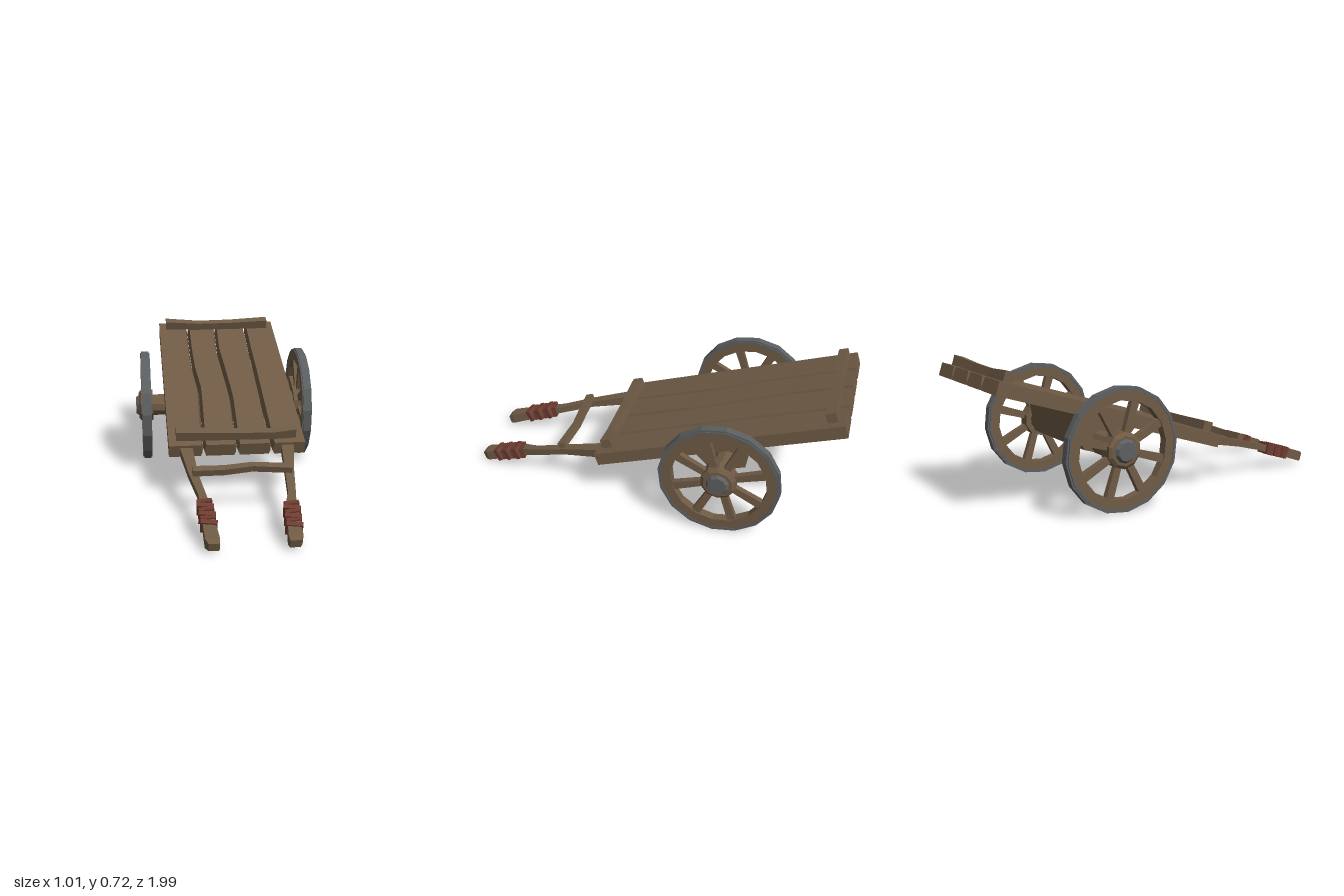
import * as THREE from 'three';

const wood = new THREE.MeshStandardMaterial({ color: 0x6f5b45 });
wood.name = 'brown wood';
const iron = new THREE.MeshStandardMaterial({ color: 0x5c5f61 });
iron.name = 'grey iron';
const cord = new THREE.MeshStandardMaterial({ color: 0x6e3b30 });
cord.name = 'red cord';

// Faceted mesh with hard edges
function add(parent, name, geometry, material) {
  const g = geometry.index ? geometry.toNonIndexed() : geometry;
  g.computeVertexNormals();
  const mesh = new THREE.Mesh(g, material);
  mesh.name = name;
  parent.add(mesh);
  return mesh;
}

// Solid through rings of [x, y] points (counter-clockwise) placed at rising z
function loft(rings) {
  const n = rings[0].points.length, pos = [], idx = [];
  rings.forEach(r => r.points.forEach(p => pos.push(p[0], p[1], r.z)));
  for (let i = 0; i < rings.length - 1; i++) {
    for (let j = 0; j < n; j++) {
      const a = i * n + j, b = i * n + (j + 1) % n;
      idx.push(a, b, b + n, a, b + n, a + n);
    }
  }
  const last = (rings.length - 1) * n;
  for (let j = 1; j < n - 1; j++) idx.push(0, j + 1, j, last, last + j, last + j + 1);
  const g = new THREE.BufferGeometry();
  g.setAttribute('position', new THREE.Float32BufferAttribute(pos, 3));
  g.setIndex(idx);
  return g;
}

// Rectangular beam along z; each station is [z, x, y, width, height]
function beam(stations) {
  return loft(stations.map(([z, x, y, w, h]) => ({
    z,
    points: [[x - w / 2, y - h / 2], [x + w / 2, y - h / 2], [x + w / 2, y + h / 2], [x - w / 2, y + h / 2]],
  })));
}

// Beam along x; each station is [x, z, y, depth, height]
const crossBeam = stations =>
  beam(stations.map(([x, z, y, d, h]) => [x, -z, y, d, h])).rotateY(Math.PI / 2);

// Four planks with worn, wavy seams
function addBed(cart) {
  const zs = [-0.66, -0.61, -0.33, -0.12, 0.1, 0.22, 0.62, 0.66];
  const seams = [
    zs.map(() => -0.345),
    [-0.17, -0.17, -0.172, -0.168, -0.15, -0.152, -0.165, -0.165],
    [0.003, 0.002, -0.006, 0.006, 0.018, 0.022, 0.01, 0.01],
    [0.19, 0.19, 0.188, 0.19, 0.19, 0.19, 0.19, 0.19],
    zs.map(() => 0.365),
  ];
  const t = 0.034;
  for (let k = 0; k < 4; k++) {
    const rings = zs.map((z, i) => {
      const end = i === 0 || i === zs.length - 1;
      const mid = end ? 0.007 : 0.0005, lip = end ? 0.014 : 0.012;
      const l = seams[k][i], r = seams[k + 1][i];
      const lm = k > 0 ? mid : 0, ll = k > 0 ? lip : 0;
      const rm = k < 3 ? mid : 0, rl = k < 3 ? lip : 0;
      return {
        z,
        points: [[l + ll, -t], [r - rl, -t], [r - rm, -0.012], [r - rl, t], [l + ll, t], [l + lm, -0.012]],
      };
    });
    add(cart, 'bedPlank', loft(rings), wood);
  }
  // Cleats across both ends of the bed
  add(cart, 'rearCleat', crossBeam([
    [-0.305, -0.6, 0.062, 0.05, 0.052], [-0.1, -0.59, 0.055, 0.042, 0.042],
    [0.1, -0.593, 0.056, 0.045, 0.044], [0.325, -0.597, 0.062, 0.052, 0.052]]), wood);
  add(cart, 'frontCleat', crossBeam([
    [-0.305, 0.592, 0.062, 0.055, 0.05], [-0.05, 0.598, 0.056, 0.046, 0.046],
    [0.2, 0.605, 0.054, 0.04, 0.042], [0.32, 0.595, 0.062, 0.055, 0.05]]), wood);
}

// Bent shafts with cord grips, joined by a bar
function addHandles(cart) {
  const sides = [
    { name: 'rightHandle', x: [-0.258, -0.235, -0.203, -0.197, -0.183, -0.177], grip: [1.12, 1.27] },
    { name: 'leftHandle', x: [0.277, 0.247, 0.23, 0.213, 0.196, 0.192], grip: [1.16, 1.31] },
  ];
  for (const { name, x, grip } of sides) {
    add(cart, name, beam([
      [0.63, x[0], -0.006, 0.068, 0.05], [0.88, x[1], 0.01, 0.046, 0.036],
      [1.06, x[2], 0.015, 0.038, 0.036], [1.14, x[3], 0.018, 0.05, 0.042],
      [1.385, x[4], 0.018, 0.068, 0.055], [1.41, x[5], 0.015, 0.05, 0.042]]), wood);
    for (let i = 0; i < 6; i++) {
      const z = grip[0] + (grip[1] - grip[0]) * i / 5;
      const f = (z - 1.14) / 0.245;
      const wrap = add(cart, 'gripCord', new THREE.BoxGeometry(0.072 + (i % 2) * 0.007, 0.062 + (i % 2) * 0.006, 0.024), cord);
      wrap.position.set(x[3] + (x[4] - x[3]) * f, 0.018, z);
      wrap.rotation.set(i % 2 ? 0.14 : -0.1, i % 2 ? -0.16 : 0.12, 0);
    }
  }
  add(cart, 'handleBar', crossBeam([
    [-0.24, 0.89, 0.046, 0.042, 0.034], [-0.08, 0.885, 0.042, 0.038, 0.034],
    [0.06, 0.87, 0.046, 0.036, 0.034], [0.255, 0.89, 0.044, 0.04, 0.032]]), wood);
}

// Spoked wheel whose outer side faces +x
function makeWheel() {
  const wheel = new THREE.Group();
  wheel.name = 'wheel';
  const ring = pts => new THREE.LatheGeometry(pts.map(p => new THREE.Vector2(...p)), 16).rotateZ(-Math.PI / 2);
  add(wheel, 'rim', ring([[0.245, -0.023], [0.298, -0.023], [0.298, 0.023], [0.245, 0.023], [0.245, -0.023]]), wood);
  add(wheel, 'tyre', ring([[0.294, -0.026], [0.304, -0.026], [0.304, -0.02], [0.313, -0.02],
    [0.313, 0.02], [0.304, 0.02], [0.304, 0.026], [0.294, 0.026], [0.294, -0.026]]), iron);
  for (let i = 0; i < 8; i++) {
    const spoke = add(wheel, 'spoke', beam([[0.06, 0, 0, 0.03, 0.034], [0.255, 0, 0, 0.03, 0.044]]), wood);
    spoke.rotation.x = i * Math.PI / 4;
  }
  const disc = (name, r0, r1, x0, x1, mat) => {
    const g = new THREE.CylinderGeometry(r1, r0, x1 - x0, 10).rotateZ(-Math.PI / 2);
    add(wheel, name, g, mat).position.x = (x0 + x1) / 2;
  };
  disc('hub', 0.092, 0.092, -0.038, 0.03, wood);
  disc('hubCollar', 0.092, 0.075, 0.03, 0.042, wood);
  disc('hubCap', 0.062, 0.048, 0.04, 0.058, iron);
  return wheel;
}

// Axle, its block under the bed, and both wheels
function addRunningGear(cart) {
  const y = -0.143;
  add(cart, 'axle', new THREE.CylinderGeometry(0.062, 0.062, 0.84, 10).rotateZ(Math.PI / 2), wood).position.y = y;
  const outline = [[-0.09, -0.2], [0.09, -0.2], [0.18, -0.02], [-0.18, -0.02]];
  add(cart, 'axleBlock', loft([-0.26, 0.28].map(z => ({ z, points: outline }))).rotateY(Math.PI / 2), wood);
  for (const side of [1, -1]) {
    const wheel = makeWheel();
    wheel.name = side > 0 ? 'leftWheel' : 'rightWheel';
    wheel.position.set(side * 0.447, y, 0);
    if (side < 0) wheel.rotation.y = Math.PI;
    cart.add(wheel);
  }
}

export function createModel() {
  const model = new THREE.Group();
  model.name = 'handcart';
  // The whole cart rests tilted onto its handles
  const cart = new THREE.Group();
  cart.name = 'tiltedCart';
  cart.position.set(0, 0.456, -0.356);
  cart.rotation.x = 0.309;
  addBed(cart);
  addHandles(cart);
  addRunningGear(cart);
  model.add(cart);
  return model;
}
